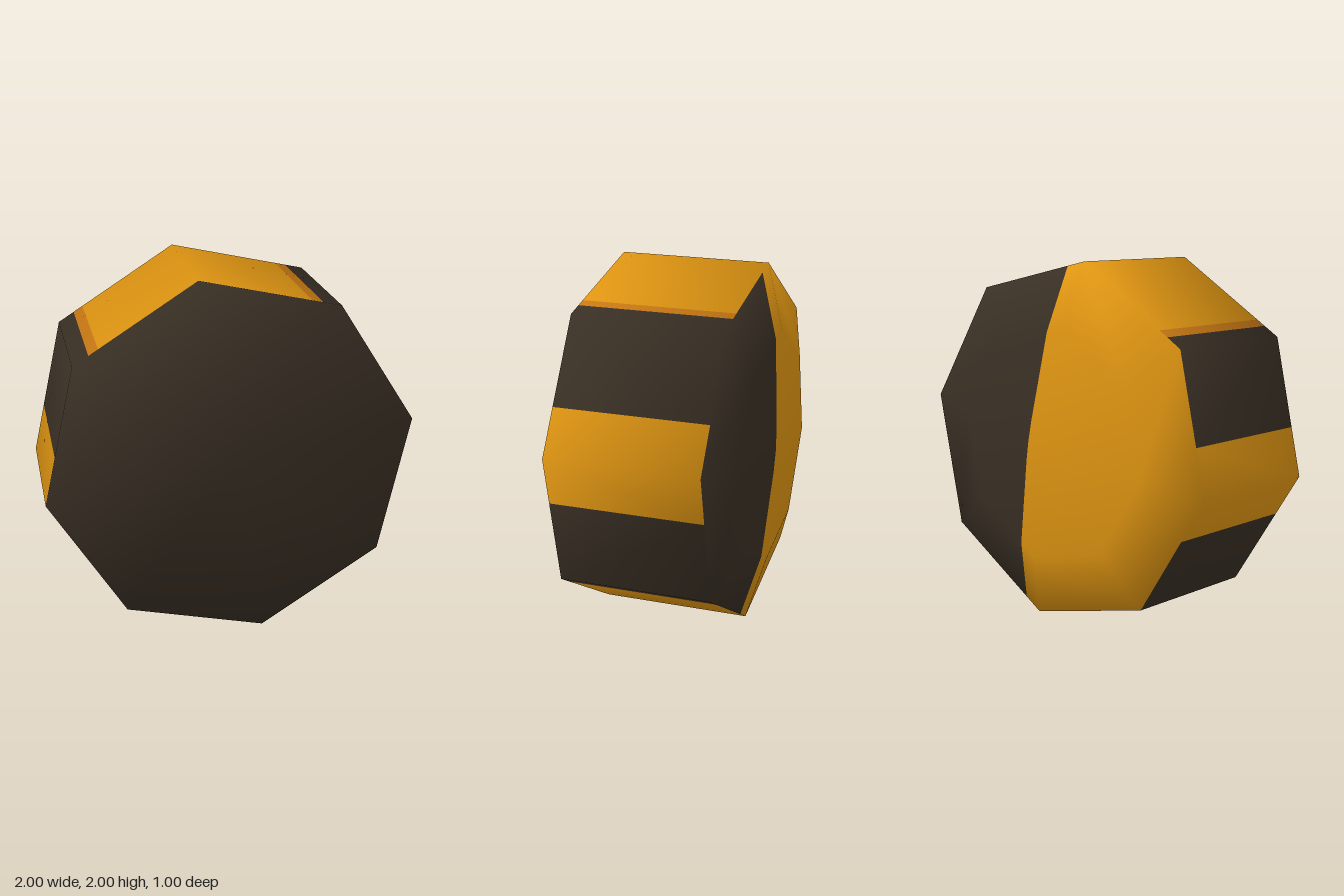
import * as THREE from 'three';

const SIDES = 8, RADIUS = 1.0156, TILT = THREE.MathUtils.degToRad(10.1);
const STRIPE = 0.255, BAND = 0.757, TRIM = 0.78, SPLIT = 0.114;

// Cross-sections from front to back: radius, z, and the tilt of the smooth normal (radial, z)
const FRONT = { r: RADIUS, z: 0.5, n: [0.75, 0.66] };
const RIM = { r: RADIUS, z: -0.35, n: [0.82, -0.57] };
const RING = { r: 0.66, z: -0.45, n: [0.18, -0.98] };
const APEX = { r: 0, z: -0.5, n: [0, -1] };

// Corner i of a cross-section, with its normal
function corner(section, i) {
  const a = (i / SIDES) * Math.PI * 2, c = Math.cos(a), s = Math.sin(a);
  return {
    p: new THREE.Vector3(section.r * c, section.r * s, section.z),
    n: new THREE.Vector3(section.n[0] * c, section.n[0] * s, section.n[1]).normalize(),
  };
}

// Keep the part of a convex polygon where f(p) >= 0
function clip(poly, f) {
  const out = [];
  poly.forEach((a, i) => {
    const b = poly[(i + 1) % poly.length], fa = f(a.p), fb = f(b.p);
    if (fa >= 0) out.push(a);
    if (fa * fb < 0) {
      const t = fa / (fa - fb);
      out.push({ p: a.p.clone().lerp(b.p, t), n: a.n.clone().lerp(b.n, t) });
    }
  });
  return out;
}

// Keep the part lying between two values of a coordinate
const between = (polys, axis, lo, hi) => polys
  .map((q) => clip(clip(q, (p) => p[axis] - lo), (p) => hi - p[axis]))
  .filter((q) => q.length > 2);

// Band of faces joining two cross-sections
function loft(front, back) {
  return Array.from({ length: SIDES }, (_, i) => {
    const quad = [corner(front, i), corner(back, i), corner(back, i + 1), corner(front, i + 1)];
    if (back.r === 0) quad.splice(2, 1);
    return quad;
  });
}

function addPart(group, name, polys, material) {
  const pos = [], nor = [];
  for (const q of polys) {
    for (let i = 1; i < q.length - 1; i++) {
      for (const v of [q[0], q[i], q[i + 1]]) {
        pos.push(...v.p.toArray());
        nor.push(...v.n.clone().normalize().toArray());
      }
    }
  }
  const geo = new THREE.BufferGeometry();
  geo.setAttribute('position', new THREE.Float32BufferAttribute(pos, 3));
  geo.setAttribute('normal', new THREE.Float32BufferAttribute(nor, 3));
  const mesh = new THREE.Mesh(geo, material);
  mesh.name = name;
  group.add(mesh);
}

export function createModel() {
  const mat = (name, color) => Object.assign(new THREE.MeshStandardMaterial({ color }), { name });
  const dark = mat('dark brown', 0x3a3025);
  const orange = mat('orange', 0xe29712);
  const amber = mat('dark amber', 0xcb7a14);

  const model = new THREE.Group();
  model.name = 'octagonalBlock';
  const body = new THREE.Group();
  body.name = 'body';

  // Flat front
  const centre = { p: new THREE.Vector3(0, 0, FRONT.z), n: new THREE.Vector3(0, 0, 1) };
  const face = Array.from({ length: SIDES }, (_, i) => [centre, corner(FRONT, i), corner(FRONT, i + 1)]);
  addPart(body, 'frontFace', face, dark);

  // Striped outer wall
  const wall = loft(FRONT, RIM);
  addPart(body, 'middleStripe', between(wall, 'y', -STRIPE, STRIPE), orange);
  addPart(body, 'upperDarkStripe', between(wall, 'y', STRIPE, BAND), dark);
  addPart(body, 'lowerDarkStripe', between(wall, 'y', -BAND, -STRIPE), dark);
  addPart(body, 'upperTrim', between(wall, 'y', BAND, TRIM), amber);
  addPart(body, 'lowerTrim', between(wall, 'y', -TRIM, -BAND), amber);
  addPart(body, 'upperWall', between(wall, 'y', TRIM, 2), orange);
  addPart(body, 'lowerWall', between(wall, 'y', -2, -TRIM), orange);

  // Shallow dome at the back, in two colours
  const dome = [...loft(RIM, RING), ...loft(RING, APEX)];
  addPart(body, 'domeDarkSide', between(dome, 'x', SPLIT, 2), dark);
  addPart(body, 'domeOrangeSide', between(dome, 'x', -2, SPLIT), orange);

  body.rotation.z = TILT;
  body.position.y = 1;
  model.add(body);
  return model;
}
